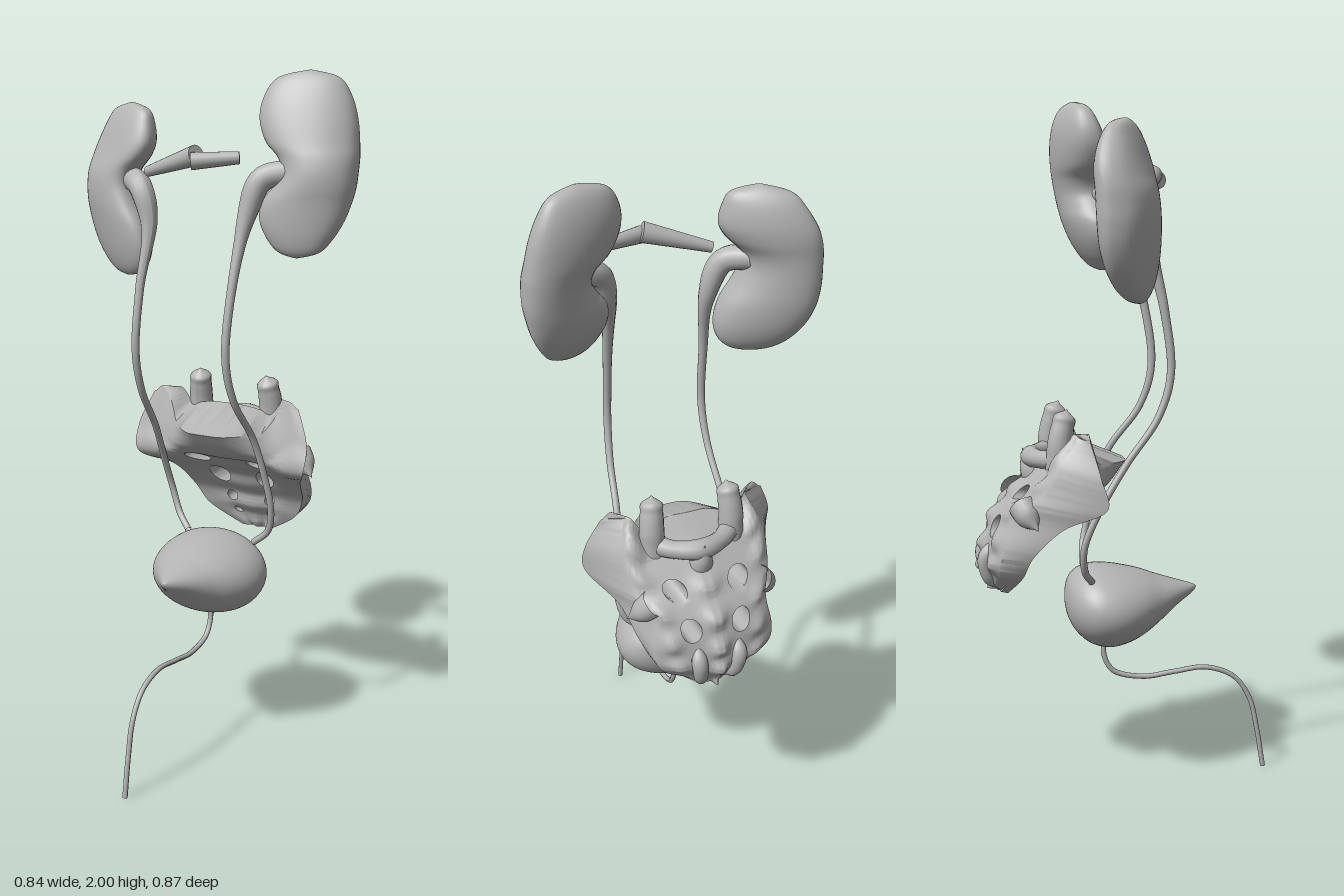
import * as THREE from 'three';
import { toCreasedNormals } from 'three/addons/utils/BufferGeometryUtils.js';

const V = (p) => new THREE.Vector3(...p);

// Smooth interpolation of one table column, t in 0..1
function sample(table, col, t) {
  const n = table.length - 1, f = Math.min(t, 1) * n, i = Math.min(Math.floor(f), n - 1), k = f - i;
  const at = (j) => table[Math.max(0, Math.min(n, j))][col];
  const [a, b, c, d] = [at(i - 1), at(i), at(i + 1), at(i + 2)];
  return b + 0.5 * k * (c - a + k * (2 * a - 5 * b + 4 * c - d + k * (3 * (b - c) + d - a)));
}

function build(pos, idx) {
  const g = new THREE.BufferGeometry();
  g.setAttribute('position', new THREE.Float32BufferAttribute(pos, 3));
  g.setIndex(idx);
  g.computeVertexNormals();
  return g;
}

// Closed rings joined into a skin; point(t, angle) gives each vertex
function loft(rows, sides, point) {
  const pos = [], idx = [];
  for (let j = 0; j <= rows; j++)
    for (let i = 0; i < sides; i++) pos.push(...point(j / rows, (i / sides) * Math.PI * 2));
  for (let j = 0; j < rows; j++)
    for (let i = 0; i < sides; i++) {
      const k = (i + 1) % sides, a = j * sides + i, d = j * sides + k;
      idx.push(a, a + sides, d + sides, a, d + sides, d);
    }
  return build(pos, idx);
}

// Tube whose radius follows a list
function taperTube(points, radii, segs = 60, sides = 14) {
  const curve = new THREE.CatmullRomCurve3(points.map(V));
  const g = new THREE.TubeGeometry(curve, segs, 1, sides);
  const p = g.attributes.position, v = new THREE.Vector3(), table = radii.map((r) => [r]);
  for (let i = 0; i < p.count; i++) {
    const t = Math.floor(i / (sides + 1)) / segs, c = curve.getPointAt(t);
    v.fromBufferAttribute(p, i).sub(c).multiplyScalar(Math.max(0.001, sample(table, 0, t))).add(c);
    p.setXYZ(i, v.x, v.y, v.z);
  }
  g.computeVertexNormals();
  return g;
}

// Bean profile rows are y, low x, high x
function kidney(rows, zTop, zBottom, bow, depth, slope) {
  const top = rows[0][0], bottom = rows[rows.length - 1][0];
  return loft(60, 40, (t, a) => {
    const y = sample(rows, 0, t), x0 = sample(rows, 1, t), x1 = sample(rows, 2, t);
    const s = THREE.MathUtils.clamp((top - y) / (top - bottom), 0, 1);
    const round = Math.sqrt(Math.max(0, 1 - (2 * s - 1) ** 2));
    const dx = -Math.cos(a) * (x1 - x0) / 2;
    const full = Math.sign(Math.sin(a)) * Math.abs(Math.sin(a)) ** 0.8;
    const z = zTop + (zBottom - zTop) * s + bow * round + depth * round * full + slope * dx;
    return [(x0 + x1) / 2 + dx, y, z];
  });
}

// Sacrum plate: front and back skins on a grid, pierced by paired holes
function sacrumGeometry() {
  // front y, front z, back y, back z, half width, wing lift, wing shift in z
  const rows = [
    [0.965, 0.0, 1.03, -0.16, 0.245, 0.1, -0.13],
    [0.9, -0.055, 0.96, -0.24, 0.285, 0.06, -0.05],
    [0.86, -0.13, 0.89, -0.31, 0.28, 0.0, 0.04],
    [0.8, -0.22, 0.815, -0.375, 0.22, 0, 0.02],
    [0.72, -0.28, 0.73, -0.405, 0.19, 0, 0],
    [0.65, -0.31, 0.66, -0.41, 0.15, 0, 0],
    [0.585, -0.345, 0.59, -0.375, 0.05, 0, 0]];
  const holes = [[0.36, 2.1, 0.13, 0.36], [0.37, 3.3, 0.15, 0.38], [0.37, 4.4, 0.1, 0.24], [0.4, 5.15, 0.08, 0.15]];
  const NU = 64, NV = 60, pos = [], back = [], idx = [], inside = [], edges = new Map();
  const step = THREE.MathUtils.smoothstep;
  const bump = (x, c, w) => Math.exp(-(((x - c) / w) ** 2));
  for (let j = 0; j <= NV; j++)
    for (let i = 0; i <= NU; i++) {
      let u = (i / NU) * 2 - 1, r = (j / NV) * 6, hit = false;
      for (const [hu, hr, ru, rr] of holes) {
        const side = u < 0 ? -1 : 1, du = (u - side * hu) / ru, dr = (r - hr) / rr, d = Math.hypot(du, dr);
        if (d < 1) {
          hit = true;
          const k = 1 / Math.max(d, 1e-3);
          u = side * hu + du * k * ru;
          r = hr + dr * k * rr;
        }
      }
      inside.push(hit);
      const [yF, zF, yB, zB, w, lift, shift] = [0, 1, 2, 3, 4, 5, 6].map((c) => sample(rows, c, r / 6));
      const m = Math.abs(u), wing = step(m, 0.15, 0.85), up = lift * (step(m, 0.55, 0.88) - 0.2 * step(m, 0.88, 1));
      const upper = 1 - step(r, 0, 2), narrow = 1 - 0.24 * (1 - step(r, 2.6, 4.6)) * m * m;
      // vertebral lines across the front, crests down the back
      const dent = 0.01 * bump(m, 0.36, 0.2) * step(r, 0.8, 2) + 0.005 * Math.cos(r * 6) * step(r, 1, 2) * (1 - wing);
      const crest = 0.025 * bump(u, 0, 0.14) * (0.6 + 0.4 * Math.cos(r * 6.3)) * step(r, 0.3, 1.5)
        + 0.014 * bump(m, 0.7, 0.16) * (0.5 + 0.5 * Math.cos(r * 6.3 + 2));
      const zf = zF + shift * wing - dent;
      const zb = Math.min(zf - 0.02, zB + (0.06 - 0.02 * step(r, 1.5, 3)) * u * u - crest - 0.05 * upper * wing);
      pos.push(u * w, yF + up, zf);
      back.push(u * w * narrow, yB + up * 0.6 - 0.03 * upper * wing, zb);
    }
  const n = pos.length / 3;
  for (let j = 0; j < NV; j++)
    for (let i = 0; i < NU; i++) {
      const a = j * (NU + 1) + i, b = a + NU + 1, c = b + 1, d = a + 1, q = [a, b, c, d];
      if (q.every((k) => inside[k])) continue;
      idx.push(a, b, c, a, c, d, n + a, n + c, n + b, n + a, n + d, n + c);
      q.forEach((p, k) => {
        const e = q[(k + 1) % 4];
        if (!edges.delete(e + '_' + p)) edges.set(p + '_' + e, [p, e]);
      });
    }
  // walls around the rim and the holes
  for (const [p, q] of edges.values()) idx.push(q, p, n + p, q, n + p, n + q);
  return toCreasedNormals(build(pos.concat(back), idx), 1.1);
}

export function createModel() {
  const model = new THREE.Group();
  const grey = new THREE.MeshStandardMaterial({ color: 0xb4b4b4, side: THREE.DoubleSide });
  grey.name = 'plain grey';
  const add = (name, geo, parent = model) => {
    const mesh = new THREE.Mesh(geo, grey);
    mesh.name = name;
    parent.add(mesh);
    return mesh;
  };

  // Kidneys
  add('leftKidney', kidney([
    [2.0, 0.275, 0.275], [1.98, 0.19, 0.35], [1.93, 0.155, 0.385], [1.87, 0.15, 0.405], [1.81, 0.175, 0.415],
    [1.77, 0.215, 0.42], [1.73, 0.228, 0.42], [1.69, 0.208, 0.418], [1.65, 0.178, 0.41], [1.6, 0.175, 0.395],
    [1.55, 0.2, 0.37], [1.515, 0.235, 0.34], [1.5, 0.285, 0.285]], -0.105, -0.018, -0.014, 0.08, -0.24));
  add('rightKidney', kidney([
    [1.91, -0.255, -0.255], [1.89, -0.33, -0.185], [1.85, -0.365, -0.165], [1.8, -0.395, -0.16], [1.76, -0.41, -0.18],
    [1.72, -0.418, -0.218], [1.68, -0.42, -0.228], [1.63, -0.42, -0.21], [1.57, -0.41, -0.175], [1.51, -0.385, -0.16],
    [1.46, -0.345, -0.17], [1.43, -0.3, -0.2], [1.42, -0.245, -0.245]], -0.035, 0.005, -0.022, 0.082, 0.43));

  // Ureters, flaring into the kidneys
  const flare = [0.035, 0.032, 0.018, 0.013, 0.012, 0.011, 0.01, 0.01, 0.01, 0.01, 0.01];
  add('leftUreter', taperTube([
    [0.25, 1.73, -0.03], [0.185, 1.71, 0.0], [0.155, 1.62, 0.025], [0.137, 1.4, 0.085], [0.133, 1.22, 0.106],
    [0.14, 1.1, 0.072], [0.155, 0.97, -0.02], [0.172, 0.85, -0.06], [0.182, 0.74, -0.085], [0.165, 0.67, -0.1],
    [0.115, 0.625, -0.105]], flare, 90));
  add('rightUreter', taperTube([
    [-0.25, 1.7, -0.01], [-0.185, 1.68, 0.035], [-0.147, 1.58, 0.05], [-0.155, 1.4, 0.09], [-0.16, 1.22, 0.108],
    [-0.165, 1.1, 0.072], [-0.175, 0.97, -0.02], [-0.192, 0.84, -0.1], [-0.188, 0.74, -0.14], [-0.16, 0.665, -0.135],
    [-0.115, 0.625, -0.11]], flare, 90));

  // Blood vessel stubs between the kidneys
  const stub = (name, from, to, r0, r1) => {
    const a = V(from), b = V(to), d = b.clone().sub(a);
    const m = add(name, new THREE.CylinderGeometry(r1, r0, d.length(), 20));
    m.position.copy(a).add(b).multiplyScalar(0.5);
    m.quaternion.setFromUnitVectors(new THREE.Vector3(0, 1, 0), d.normalize());
  };
  stub('rightVessel', [-0.155, 1.722, 0.04], [0.03, 1.775, 0.088], 0.015, 0.029);
  stub('leftVessel', [0.025, 1.76, 0.108], [0.143, 1.77, 0.05], 0.024, 0.017);

  // Bladder, rows are z, bottom, top, half width
  const bladder = [
    [0.218, 0.573, 0.573, 0], [0.205, 0.555, 0.582, 0.014], [0.15, 0.517, 0.598, 0.06], [0.1, 0.475, 0.613, 0.1],
    [0.05, 0.44, 0.63, 0.14], [0, 0.417, 0.642, 0.166], [-0.05, 0.408, 0.65, 0.176], [-0.1, 0.42, 0.65, 0.168],
    [-0.14, 0.452, 0.635, 0.135], [-0.165, 0.495, 0.605, 0.08], [-0.176, 0.55, 0.55, 0]];
  add('bladder', loft(60, 48, (t, a) => {
    const [z, lo, hi, w] = [0, 1, 2, 3].map((c) => sample(bladder, c, t));
    return [-0.005 + w * Math.cos(a), (lo + hi) / 2 + ((hi - lo) / 2) * Math.sin(a), z];
  }));

  add('urethra', taperTube([
    [-0.007, 0.43, -0.06], [-0.007, 0.37, -0.058], [-0.007, 0.325, -0.03], [-0.007, 0.303, 0.06], [-0.007, 0.313, 0.15],
    [-0.007, 0.322, 0.25], [-0.007, 0.29, 0.335], [-0.007, 0.22, 0.385], [-0.007, 0.12, 0.41], [-0.007, 0.002, 0.43]],
  [0.008, 0.0075, 0.0075], 90, 10));

  // Sacrum with its processes
  const sacrum = new THREE.Group();
  sacrum.name = 'sacrum';
  model.add(sacrum);
  add('sacrumBody', sacrumGeometry(), sacrum);
  for (const s of [-1, 1]) {
    add('articularProcess', taperTube([[s * 0.115, 0.93, -0.2], [s * 0.12, 1.02, -0.2], [s * 0.115, 1.09, -0.187],
      [s * 0.112, 1.122, -0.178]], [0.042, 0.04, 0.038, 0.036, 0.036, 0.035, 0.034, 0.032, 0.03, 0], 36), sacrum);
    add('lowerHorn', taperTube([[s * 0.06, 0.74, -0.385], [s * 0.06, 0.69, -0.408], [s * 0.05, 0.63, -0.395],
      [s * 0.035, 0.595, -0.37]], [0.01, 0.022, 0.022, 0.018, 0], 24), sacrum);
    add('sideTubercle', taperTube([[s * 0.16, 0.86, -0.31], [s * 0.195, 0.825, -0.29], [s * 0.225, 0.8, -0.272]],
      [0.04, 0.032, 0], 16), sacrum);
  }
  add('canalArch', taperTube([[-0.12, 0.98, -0.2], [-0.07, 0.975, -0.245], [0, 0.975, -0.27], [0.07, 0.975, -0.245],
    [0.12, 0.98, -0.2]], [0.03, 0.026, 0.03, 0.026, 0.03], 30), sacrum);
  add('upperSpine', taperTube([[0, 0.9, -0.25], [0, 0.96, -0.28], [0, 1.0, -0.295]], [0.04, 0.03, 0], 16), sacrum);
  return model;
}
